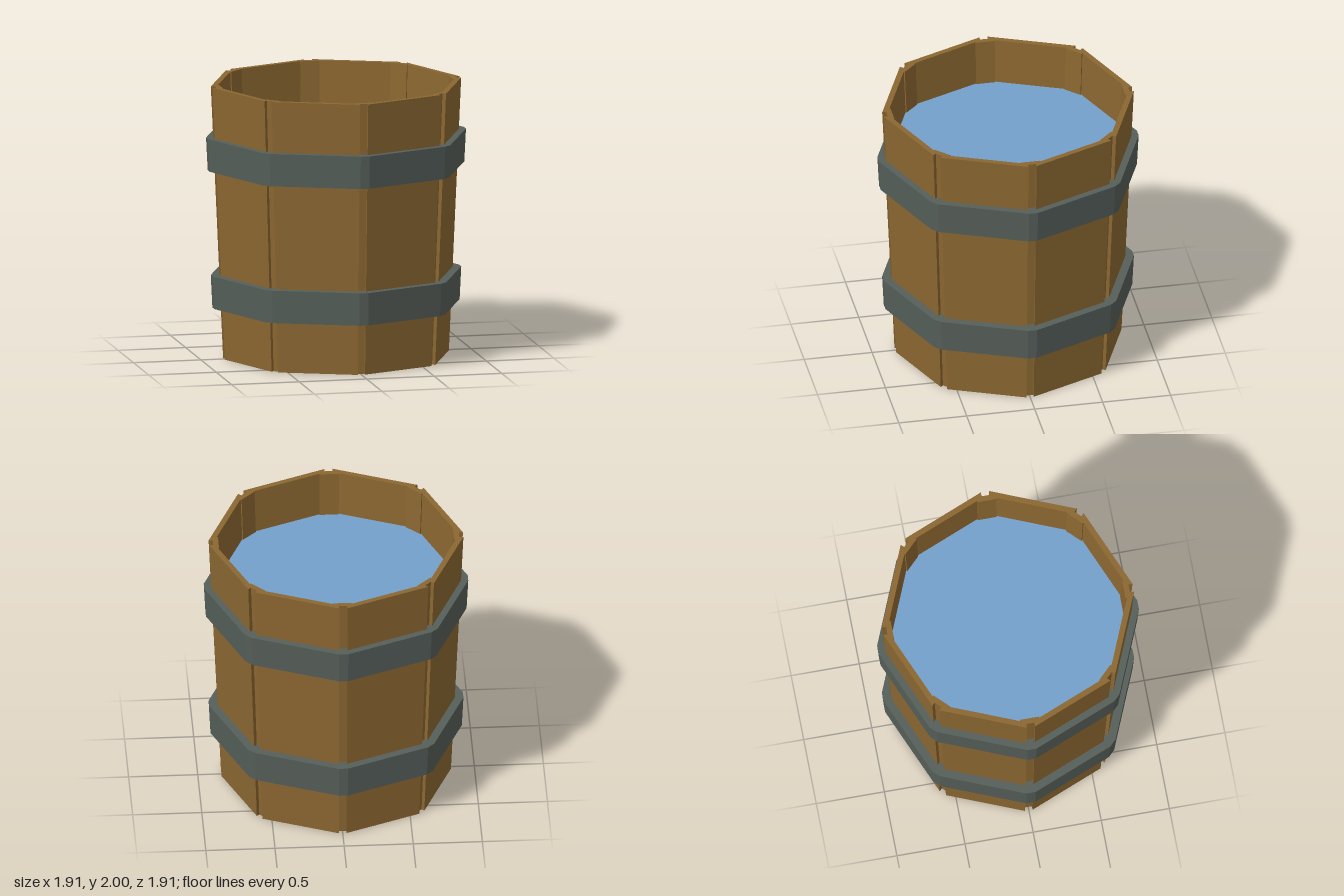
import * as THREE from 'three';

// Repeats one corner profile, given as [along, outward] pairs, around the octagon
function octagon(corner) {
  const points = [];
  for (let i = 0; i < 8; i++) {
    const a = (i * Math.PI) / 4;
    const c = Math.cos(a), s = Math.sin(a);
    for (const [t, r] of corner) points.push(new THREE.Vector2(r * c - t * s, r * s + t * c));
  }
  return points;
}

// Upright prism from y0 to y1 that narrows to bottomScale at its foot
function taperedPrism(outer, inner, y0, y1, bottomScale) {
  const shape = new THREE.Shape(outer);
  if (inner) shape.holes.push(new THREE.Path(inner));
  const geo = new THREE.ExtrudeGeometry(shape, { depth: y1 - y0, bevelEnabled: false });
  geo.rotateX(-Math.PI / 2);
  const p = geo.attributes.position;
  for (let i = 0; i < p.count; i++) {
    const k = THREE.MathUtils.lerp(bottomScale, 1, p.getY(i) / (y1 - y0));
    p.setXYZ(i, p.getX(i) * k, p.getY(i) + y0, p.getZ(i) * k);
  }
  geo.computeVertexNormals();
  return geo;
}

export function createModel() {
  const group = new THREE.Group();
  const material = (name, color) => {
    const m = new THREE.MeshStandardMaterial({ color, flatShading: true });
    m.name = name;
    return m;
  };
  const wood = material('wood', 0x8b6731);
  const metal = material('darkMetal', 0x565f5a);
  const blue = material('waterBlue', 0x74a0cc);

  const add = (name, geo, mat) => {
    const mesh = new THREE.Mesh(geo, mat);
    mesh.name = name;
    group.add(mesh);
  };

  const FOOT = 0.902; // foot width relative to the rim
  const scaleAt = (y) => THREE.MathUtils.lerp(FOOT, 1, y / 2);

  // Staves: grooved outside corners, raised corner strips inside
  const outer = octagon([[-0.03, 0.92], [-0.03, 0.89], [0.03, 0.89], [0.03, 0.92]]);
  const inner = octagon([[-0.07, 0.859], [-0.07, 0.85], [0.07, 0.85], [0.07, 0.859]]);
  add('staves', taperedPrism(outer, inner, 0, 2, FOOT), wood);

  // Floor closing the foot
  const floorOutline = inner.map((p) => p.clone().multiplyScalar(scaleAt(0.1)));
  add('floor', taperedPrism(floorOutline, null, 0, 0.1, FOOT / scaleAt(0.1)), wood);

  // Water surface
  const level = 1.66;
  const water = new THREE.ShapeGeometry(new THREE.Shape(inner));
  water.rotateX(-Math.PI / 2);
  water.scale(scaleAt(level), 1, scaleAt(level));
  water.translate(0, level, 0);
  add('water', water, blue);

  // Metal hoops, filling the grooves behind them
  const hoops = [
    ['lowerHoop', 0.375, 0.615, 0.92, 0.827],
    ['upperHoop', 1.385, 1.625, 0.955, 0.867],
  ];
  for (const [name, y0, y1, rOut, rIn] of hoops) {
    const out = octagon([[-0.033, rOut], [0.033, rOut]]);
    const back = octagon([[-0.03, rIn], [0.03, rIn]]);
    add(name, taperedPrism(out, back, y0, y1, 0.987), metal);
  }

  return group;
}
